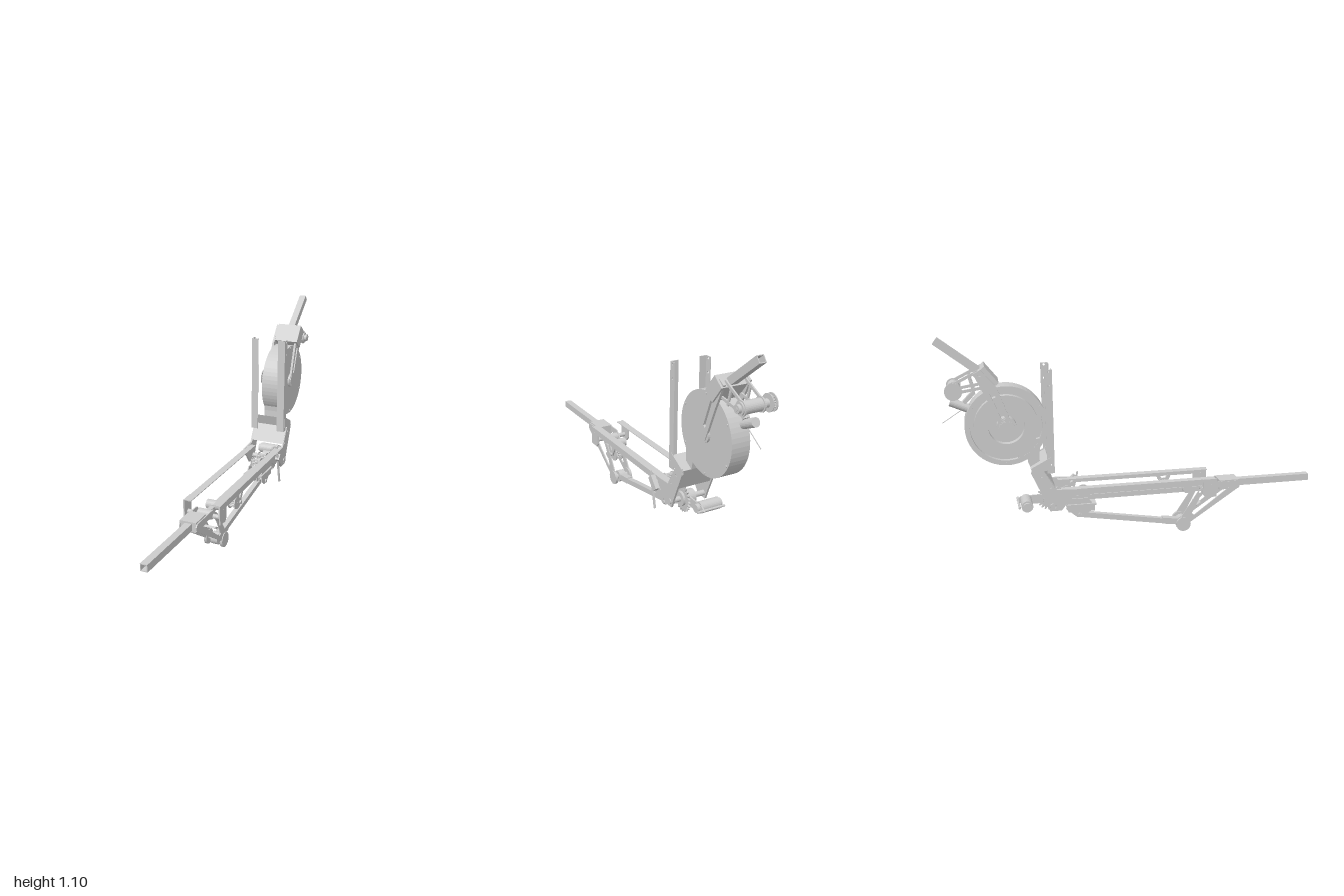
import * as THREE from 'three';

export function createModel() {
  const root = new THREE.Group();
  const mat = new THREE.MeshStandardMaterial({ color: 0xcccccc, flatShading: true, side: THREE.DoubleSide });
  const add = (name, geo, x = 0, y = 0, z = 0) => {
    const m = new THREE.Mesh(geo, mat);
    m.name = name;
    m.position.set(x, y, z);
    root.add(m);
    return m;
  };

  // Box given by its min and max on each axis
  const box = (name, x0, x1, y0, y1, z0, z1) =>
    add(name, new THREE.BoxGeometry(x1 - x0, y1 - y0, z1 - z0), (x0 + x1) / 2, (y0 + y1) / 2, (z0 + z1) / 2);

  // Cylinder whose axis runs along x
  const cyl = (name, r, x0, x1, z, y, sides = 28) => {
    const m = add(name, new THREE.CylinderGeometry(r, r, x1 - x0, sides), (x0 + x1) / 2, y, z);
    m.rotation.z = Math.PI / 2;
    return m;
  };

  // Cut side profile [z, y], thickened from x0 to x1; holes are [z, y, r] or outlines
  const plate = (name, pts, x0, x1, holes = []) => {
    const flat = (list) => list.map(([z, y]) => new THREE.Vector2(-z, y));
    const shape = new THREE.Shape(flat(pts));
    for (const h of holes) {
      const p = new THREE.Path();
      if (Array.isArray(h[0])) p.setFromPoints(flat(h));
      else p.absarc(-h[0], h[1], h[2], 0, Math.PI * 2, true);
      shape.holes.push(p);
    }
    const geo = new THREE.ExtrudeGeometry(shape, { depth: x1 - x0, bevelEnabled: false, curveSegments: 8 });
    return add(name, geo.rotateY(Math.PI / 2), x0);
  };

  // Straight bar in the side plane between [z, y] points
  const strut = (name, a, b, w, x0, x1) => {
    const dz = b[0] - a[0], dy = b[1] - a[1];
    const m = add(name, new THREE.BoxGeometry(x1 - x0, w, Math.hypot(dz, dy)), (x0 + x1) / 2, (a[1] + b[1]) / 2, (a[0] + b[0]) / 2);
    m.rotation.x = -Math.atan2(dy, dz);
    return m;
  };

  // Hollow square tube between [z, y] points
  const tube = (name, a, b, w, x) => {
    const sq = (h) => [[-h, -h], [h, -h], [h, h], [-h, h]].map((p) => new THREE.Vector2(...p));
    const shape = new THREE.Shape(sq(w / 2));
    shape.holes.push(new THREE.Path(sq(w / 2 - 0.004)));
    const dz = b[0] - a[0], dy = b[1] - a[1];
    const geo = new THREE.ExtrudeGeometry(shape, { depth: Math.hypot(dz, dy), bevelEnabled: false });
    add(name, geo, x, a[1], a[0]).rotation.x = -Math.atan2(dy, dz);
  };

  // Toothed wheel on the x axis
  const gear = (name, r, depth, teeth, x0, x1, z, y) => {
    const pts = [];
    for (let i = 0; i < teeth * 4; i++) {
      const a = (i / (teeth * 4)) * Math.PI * 2, q = i % 4 < 2 ? r : r - depth;
      pts.push([z + Math.cos(a) * q, y + Math.sin(a) * q]);
    }
    plate(name, pts, x0, x1);
  };

  // Toothed pulley between two flanges
  const pulley = (name, r, x0, x1, z, y) => {
    gear(name, r * 0.82, r * 0.12, 18, x0, x1, z, y);
    cyl(name + 'Flange', r, x0, x0 + 0.004, z, y);
    cyl(name + 'Flange', r, x1 - 0.004, x1, z, y);
  };

  // Front tube, its socket and the elbow frames
  tube('frontTube', [0.47, 0.25], [1, 0.25], 0.037, -0.006);
  box('frontSocket', -0.053, 0.035, 0.225, 0.277, 0.47, 0.58);
  for (const x of [-0.055, 0.035]) {
    plate('elbowFrame', [[0.585, 0.255], [0.575, 0.27], [0.4, 0.27], [0.35, 0.225], [0.235, 0.05], [0.265, 0.005], [0.3, 0.045], [0.585, 0.235]],
      x, x + 0.006, [[[0.53, 0.24], [0.4, 0.235], [0.36, 0.19], [0.315, 0.1], [0.33, 0.09]], [0.36, 0.22, 0.006]]);
    cyl('elbowDisc', 0.04, x - 0.004, x + 0.01, 0.27, 0.042);
  }
  strut('elbowBrace', [0.37, 0.155], [0.345, 0.14], 0.012, -0.05, 0.037);
  cyl('elbowAxle', 0.014, -0.055, 0.041, 0.27, 0.042, 16);
  cyl('elbowRoller', 0.033, -0.025, 0.013, 0.27, 0.042);
  cyl('frontAxle', 0.012, -0.1, 0.09, 0.4, 0.235, 16);
  for (const [z, y] of [[0.39, 0.235], [0.29, 0.24]]) cyl('guideRoller', 0.024, -0.045, 0.03, z, y, 20);

  // Lower push link and central bar
  strut('pushLink', [0.25, 0.04], [-0.31, 0.135], 0.028, -0.02, 0.008);
  strut('pushLinkFork', [0.27, 0.042], [0.16, 0.058], 0.034, -0.024, 0.012);
  box('centralBar', -0.02, 0.006, 0.215, 0.242, -0.42, 0.42);

  // Angle rails, both sides: horizontal pair and upright pair
  const sides = [{ x0: -0.106, x1: -0.067, out: -0.106 }, { x0: 0.051, x1: 0.093, out: 0.089 }];
  for (const { x0, x1, out } of sides) {
    box('railTop', x0, x1, 0.306, 0.31, -0.4, 0.43);
    box('railWeb', out, out + 0.004, 0.277, 0.31, -0.4, 0.43);
    plate('railFrontPlate', [[0.435, 0.31], [0.435, 0.21], [0.375, 0.205], [0.36, 0.225], [0.36, 0.31]], out - 0.003, out + 0.005,
      [[0.4, 0.285, 0.006]]);
    box('uprightFace', x0, x1, 0.405, 0.94, -0.434, -0.43);
    plate('uprightWeb', [[-0.43, 0.94], [-0.468, 0.94], [-0.468, 0.405], [-0.43, 0.405]], out, out + 0.004,
      [[-0.45, 0.93, 0.006], [-0.45, 0.86, 0.006], [-0.45, 0.45, 0.006]]);
    plate('kneePlate', [[-0.45, 0.49], [-0.545, 0.44], [-0.55, 0.41], [-0.475, 0.24], [-0.46, 0.2], [-0.4, 0.2], [-0.36, 0.25], [-0.32, 0.28],
      [-0.32, 0.31], [-0.425, 0.315], [-0.485, 0.42], [-0.45, 0.425]], out - 0.004, out + 0.006,
    [[-0.455, 0.39 - 0.06, 0.006], [-0.5, 0.39, 0.006], [-0.44, 0.225, 0.012]]);
  }

  // Knee box and the neck below the drum
  plate('kneeBox', [[-0.46, 0.48], [-0.55, 0.43], [-0.5, 0.315], [-0.43, 0.33], [-0.485, 0.42]], -0.1, 0.092);
  plate('drumNeck', [[-0.49, 0.58], [-0.5, 0.5], [-0.5, 0.45], [-0.55, 0.43], [-0.56, 0.47], [-0.61, 0.46], [-0.6, 0.56]], -0.052, 0.042);

  // Knee sprocket, shaft and drive motor
  gear('kneeSprocket', 0.07, 0.014, 22, 0.018, 0.028, -0.447, 0.228);
  cyl('sprocketHub', 0.038, -0.035, 0.04, -0.447, 0.228);
  cyl('kneeShaft', 0.014, -0.118, 0.1, -0.447, 0.228, 16);
  cyl('kneeMotor', 0.03, -0.1, 0.01, -0.575, 0.23);
  cyl('kneeMotorCap', 0.022, -0.112, 0.03, -0.575, 0.23);
  cyl('kneeMotorShaft', 0.006, -0.112, 0.045, -0.615, 0.23, 10);
  plate('motorBracket', [[-0.44, 0.255], [-0.6, 0.25], [-0.625, 0.23], [-0.6, 0.21], [-0.44, 0.2]], 0.006, 0.014);

  // Finned tray and its carrier under the rails
  box('tray', -0.06, 0.05, 0.195, 0.205, -0.37, -0.21);
  for (let i = 0; i < 8; i++) box('trayFin', -0.06 + i * 0.0146, -0.055 + i * 0.0146, 0.165, 0.195, -0.36, -0.22);
  for (const x of [-0.05, 0.034]) {
    plate('trayCarrier', [[-0.25, 0.235], [-0.36, 0.235], [-0.37, 0.18], [-0.31, 0.13], [-0.28, 0.13], [-0.22, 0.18]], x, x + 0.006, [[-0.295, 0.15, 0.008]]);
  }
  cyl('linkPin', 0.01, -0.055, 0.045, -0.3, 0.142, 14);
  for (const z of [-0.36, -0.27]) pulley('idler', 0.032, -0.032, 0.02, z, 0.255);

  // Side actuator with its hanging lever
  strut('actuatorBody', [-0.295, 0.305], [-0.345, 0.25], 0.036, 0.1, 0.124);
  strut('actuatorLever', [-0.285, 0.33], [-0.33, 0.14], 0.008, 0.107, 0.117);
  cyl('actuatorPin', 0.012, 0.06, 0.11, -0.32, 0.28, 14);

  // Tension wheel hung from the rail
  plate('wheelHanger', [[0.235, 0.3], [0.145, 0.3], [0.155, 0.265], [0.18, 0.225], [0.2, 0.225], [0.225, 0.265]], 0.084, 0.092,
    [[[0.215, 0.287], [0.165, 0.287], [0.19, 0.25]]]);
  pulley('tensionWheel', 0.04, 0.04, 0.08, 0.19, 0.23);
  cyl('tensionAxle', 0.01, 0.03, 0.1, 0.19, 0.23, 14);

  // Drum: stepped wheel with a recessed face on one side
  const dz = -0.66, dy = 0.652;
  const profile = [[0, -0.03], [0.09, -0.03], [0.09, -0.065], [0.16, -0.065], [0.16, -0.03], [0.18, -0.03], [0.18, -0.054], [0.205, -0.054], [0.205, 0.043], [0, 0.043]];
  const drum = add('drum', new THREE.LatheGeometry(profile.map((p) => new THREE.Vector2(...p)), 56), 0, dy, dz);
  drum.rotation.z = -Math.PI / 2;
  for (let i = 0; i < 6; i++) {
    const a = 0.5 + (i * Math.PI) / 3;
    cyl('drumBolt', 0.006, -0.058, 0.047, dz + Math.cos(a) * 0.193, dy + Math.sin(a) * 0.193, 10);
  }
  cyl('drumAxle', 0.015, -0.127, 0.06, dz, dy, 16);
  cyl('drumHub', 0.05, -0.08, -0.03, dz, dy);
  cyl('leverHub', 0.04, 0.043, 0.055, dz, dy);
  pulley('drumPulley', 0.042, -0.127, -0.103, dz, dy);

  // Slotted levers from the drum axle to the upper block
  for (const x of [0.048, -0.088]) {
    plate('drumLever', [[-0.63, 0.66], [-0.64, 0.625], [-0.68, 0.63], [-0.75, 0.8], [-0.81, 0.93], [-0.775, 0.95], [-0.7, 0.86]], x, x + 0.012,
      [[[-0.665, 0.7], [-0.68, 0.69], [-0.735, 0.83], [-0.718, 0.84]], [-0.78, 0.925, 0.008]]);
  }

  // Upper block and tube
  strut('upperBlock', [-0.715, 0.855], [-0.782, 0.94], 0.07, -0.067, 0.07);
  tube('upperTube', [-0.77, 0.92], [-0.982, 1.085], 0.037, 0.002);

  // Upper motor with its pulley and triangular brackets
  const mz = -0.907, my = 0.855;
  cyl('upperMotor', 0.03, -0.075, 0.045, mz, my);
  cyl('upperMotorCap', 0.02, -0.1, 0.06, mz, my);
  cyl('upperMotorShaft', 0.008, -0.127, 0.062, mz, my, 12);
  pulley('upperPulley', 0.042, -0.127, -0.103, mz, my);
  for (const x of [-0.07, 0.03]) {
    strut('motorStrut', [-0.785, 0.94], [mz, my + 0.025], 0.014, x, x + 0.008);
    strut('motorStrut', [-0.75, 0.86], [mz, my - 0.02], 0.014, x, x + 0.008);
    strut('motorStrut', [-0.81, 0.835], [-0.83, 0.915], 0.012, x, x + 0.008);
    cyl('motorRing', 0.036, x, x + 0.008, mz, my);
  }

  // Small tilted motor with a thin wire
  const small = add('smallMotor', new THREE.CylinderGeometry(0.022, 0.022, 0.09, 20), -0.03, 0.768, -0.885);
  small.rotation.x = Math.PI / 2 + 0.42;
  strut('smallMotorMount', [-0.81, 0.83], [-0.86, 0.78], 0.02, -0.045, -0.015);
  strut('smallMotorWire', [-0.83, 0.77], [-0.97, 0.68], 0.003, -0.032, -0.029);

  return root;
}
